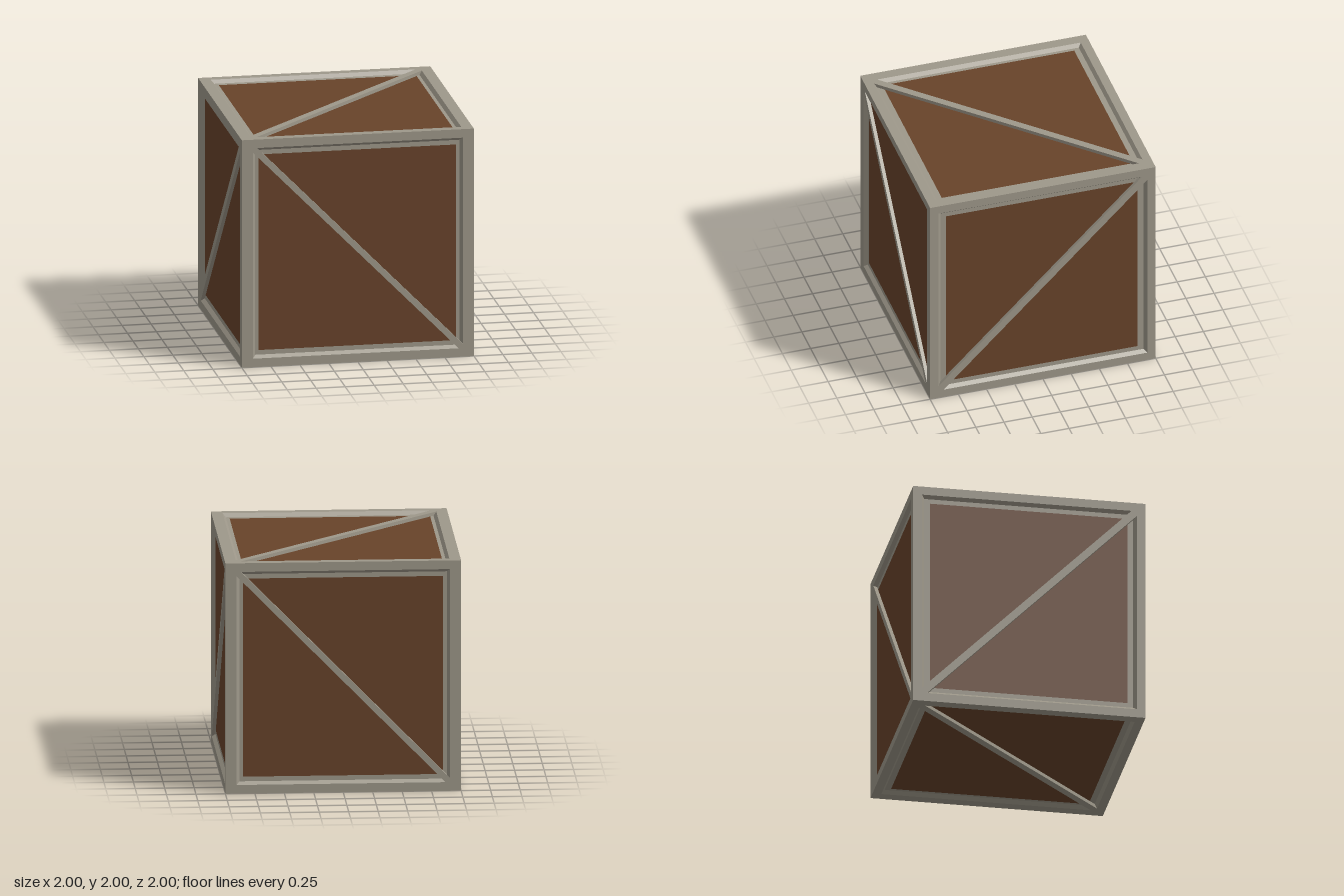
import * as THREE from 'three';

const DEPTH = 0.03;   // how far the panels sit below the frame
const BEVEL = 0.025;  // slope of the frame's inner walls

const frameMat = new THREE.MeshStandardMaterial({ color: 0x9e988a });
const panelMat = new THREE.MeshStandardMaterial({ color: 0x68432a });

const v2 = (x, y) => new THREE.Vector2(x, y);
const rect = (w, h) => [v2(-w, -h), v2(w, -h), v2(w, h), v2(-w, h)];

function addMesh(parent, name, geometry, material, z = 0) {
  const mesh = new THREE.Mesh(geometry, material);
  mesh.name = name;
  mesh.position.z = z;
  parent.add(mesh);
}

function flatShape(outline, holes) {
  const shape = new THREE.Shape(outline);
  for (const hole of holes) shape.holes.push(new THREE.Path(hole));
  return new THREE.ShapeGeometry(shape);
}

// Walls joining an upper loop to a lower loop, facing the inside of the loop
function wallGeometry(loops) {
  const pos = [];
  for (const [upper, lower] of loops) {
    upper.forEach((a, i) => {
      const j = (i + 1) % upper.length;
      const b = upper[j], c = lower[j], d = lower[i];
      pos.push(a.x, a.y, 1, b.x, b.y, 1, c.x, c.y, 1 - DEPTH);
      pos.push(a.x, a.y, 1, c.x, c.y, 1 - DEPTH, d.x, d.y, 1 - DEPTH);
    });
  }
  const geo = new THREE.BufferGeometry();
  geo.setAttribute('position', new THREE.Float32BufferAttribute(pos, 3));
  geo.computeVertexNormals();
  return geo;
}

// One crate side facing +z; the brace falls from upper left to lower right
function createSide(name, { w, h, panelW, panelH, brace }) {
  const side = new THREE.Group();
  side.name = name;
  const slope = h / w;

  // Triangular opening above the brace, and its half-turn copy below it
  const triangle = (tw, th) =>
    [v2(tw, th), v2((brace - th) / slope, th), v2(tw, brace - slope * tw)];
  const turned = (pts) => pts.map((p) => p.clone().negate());
  const upper = triangle(w, h);
  const lower = triangle(w - BEVEL, h - BEVEL);

  addMesh(side, 'frameAndBrace', flatShape(rect(1, 1), [upper, turned(upper)]), frameMat, 1);
  addMesh(side, 'recessWalls', wallGeometry([[upper, lower], [turned(upper), turned(lower)]]), frameMat);
  addMesh(side, 'innerRim', flatShape(rect(w, h), [rect(panelW, panelH)]), frameMat, 1 - DEPTH);
  addMesh(side, 'panel', new THREE.PlaneGeometry(panelW * 2, panelH * 2), panelMat, 1 - DEPTH);
  return side;
}

export function createModel() {
  const crate = new THREE.Group();
  crate.name = 'crate';
  const q = Math.PI / 2;

  // A quarter roll (third angle) turns the brace to the rising diagonal
  const frontSize = { w: 0.905, h: 0.925, panelW: 0.85, panelH: 0.86, brace: 0.037 };
  const sideSize = { w: 0.925, h: 0.925, panelW: 0.86, panelH: 0.85, brace: 0.045 };
  const topSize = { w: 0.925, h: 0.905, panelW: 0.85, panelH: 0.85, brace: 0.045 };
  const sides = [
    ['frontSide', frontSize, [0, 0, 0]],
    ['backSide', frontSize, [0, 2 * q, 0]],
    ['rightSide', sideSize, [0, q, q]],
    ['leftSide', sideSize, [0, -q, q]],
    ['topSide', topSize, [-q, 0, q]],
    ['bottomSide', topSize, [q, 0, q]],
  ];
  for (const [name, size, angles] of sides) {
    const side = createSide(name, size);
    side.rotation.set(...angles);
    side.position.y = 1;
    crate.add(side);
  }
  return crate;
}
